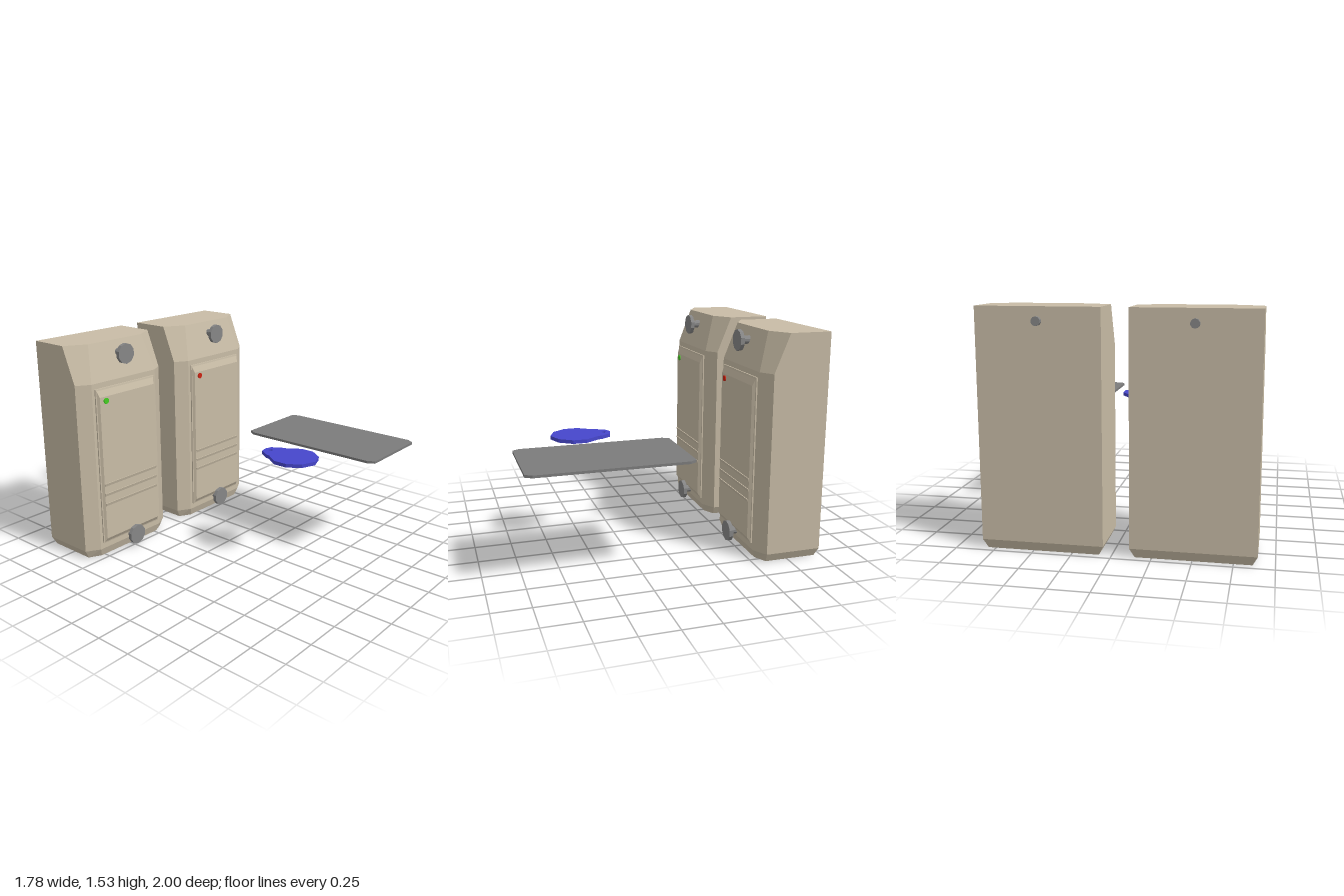
import * as THREE from 'three';

const material = (color) => new THREE.MeshStandardMaterial({ color, flatShading: true });
const casing = material(0xc8bca6);
const metal = material(0x868686);
const cardGrey = material(0x7c7c7c);
const blue = material(0x4646cc);
const green = material(0x44cc22);
const red = material(0xcc2211);

function part(name, geometry, mat, parent) {
  const mesh = new THREE.Mesh(geometry, mat);
  mesh.name = name;
  parent.add(mesh);
  return mesh;
}

// Capped solid through rings that run counter-clockwise seen from the last ring's side
function loft(rings) {
  const n = rings[0].length, pos = [];
  const tri = (...points) => points.forEach((p) => pos.push(...p));
  for (let r = 0; r + 1 < rings.length; r++) {
    const a = rings[r], b = rings[r + 1];
    for (let i = 0; i < n; i++) {
      const j = (i + 1) % n;
      tri(a[i], a[j], b[j]);
      tri(a[i], b[j], b[i]);
    }
  }
  const first = rings[0], last = rings[rings.length - 1];
  for (let i = 1; i + 1 < n; i++) {
    tri(first[0], first[i + 1], first[i]);
    tri(last[0], last[i], last[i + 1]);
  }
  const g = new THREE.BufferGeometry();
  g.setAttribute('position', new THREE.Float32BufferAttribute(pos, 3));
  g.computeVertexNormals();
  return g;
}

// Horizontal six-sided section with chamfered front corners
const section = (y, side, front, back, sideZ, frontZ) => [
  [front, y, frontZ], [side, y, sideZ], [side, y, back],
  [-side, y, back], [-side, y, sideZ], [-front, y, frontZ],
];

// Upright rectangle facing the front
const rect = (x, y0, y1, z) => [[-x, y0, z], [x, y0, z], [x, y1, z], [-x, y1, z]];

// Cylinder lying along z
function rod(name, radius, z0, z1, y, sides, mat, parent) {
  const g = new THREE.CylinderGeometry(radius, radius, z1 - z0, sides);
  g.rotateX(Math.PI / 2);
  const mesh = part(name, g, mat, parent);
  mesh.position.set(0, y, (z0 + z1) / 2);
  return mesh;
}

// Flat plate lying in xz, outline given as [x, z]
function plate(name, outline, y0, y1, mat, parent, hole) {
  const shape = new THREE.Shape(outline.map(([x, z]) => new THREE.Vector2(x, -z)));
  if (hole) shape.holes.push(new THREE.Path().absarc(hole[0], -hole[1], hole[2], 0, Math.PI * 2, true));
  const g = new THREE.ExtrudeGeometry(shape, { depth: y1 - y0, bevelEnabled: false, curveSegments: 8 });
  g.rotateX(-Math.PI / 2).translate(0, y0, 0);
  return part(name, g, mat, parent);
}

function createReader(name, x, lightMat) {
  const unit = new THREE.Group();
  unit.name = name;
  unit.position.x = x;

  // Housing with sloped top front and tapered foot
  part('housing', loft([
    section(0, 0.36, 0.275, -0.952, -0.595, -0.55),
    section(0.06, 0.39, 0.295, -0.972, -0.587, -0.53),
    section(1.275, 0.39, 0.295, -0.972, -0.587, -0.53),
    section(1.53, 0.39, 0.242, -0.972, -0.69, -0.605),
  ]), casing, unit);

  // Raised front panel with bevelled rim
  part('frontPanel', loft([
    rect(0.272, 0.103, 1.237, -0.54),
    rect(0.272, 0.103, 1.237, -0.521),
    rect(0.264, 0.112, 1.225, -0.519),
    rect(0.252, 0.14, 1.18, -0.502),
  ]), casing, unit);

  // Three wedge-shaped louvres
  for (let i = 0; i < 3; i++) {
    const y = 0.374 + i * 0.074;
    const ring = (px) => [[px, y, -0.506], [px, y + 0.034, -0.506], [px, y + 0.034, -0.496]];
    part('louvre' + (i + 1), loft([ring(-0.25), ring(0.25)]), casing, unit);
  }

  // Status light
  rod('statusLight', 0.021, -0.515, -0.495, 1.15, 16, lightMat, unit).position.x = -0.2;

  // Upper bolt passes through the housing, lower knob is shorter
  rod('upperBoltShaft', 0.029, -1, -0.515, 1.443, 10, metal, unit);
  rod('upperBoltHead', 0.072, -0.523, -0.497, 1.443, 10, metal, unit);
  rod('lowerKnobShaft', 0.029, -0.55, -0.475, 0.098, 10, metal, unit);
  rod('lowerKnobHead', 0.072, -0.483, -0.455, 0.098, 10, metal, unit);
  return unit;
}

export function createModel() {
  const model = new THREE.Group();
  model.name = 'accessReaderSet';
  model.add(createReader('rightReader', -0.505, green), createReader('leftReader', 0.44, red));

  // Access card with clipped corners
  const [x0, x1, z0, z1, cx, cz] = [0.305, 0.89, -0.065, 1, 0.028, 0.045];
  plate('accessCard', [
    [x0 + cx, z0], [x0, z0 + cz], [x0, z1 - cz], [x0 + cx, z1],
    [x1 - cx, z1], [x1, z1 - cz], [x1, z0 + cz], [x1 - cx, z0],
  ], 0.758, 0.775, cardGrey, model);

  // Key fob, mirrored about its centre line
  const mid = 0.055;
  const half = [[0.05, 0.293], [0.092, 0.362], [0.1, 0.392], [0.161, 0.482], [0.161, 0.577], [0.1, 0.665]];
  plate('keyFob', [
    [mid, 0.28],
    ...half.map(([x, z]) => [mid - x, z]),
    [mid, 0.703],
    ...half.map(([x, z]) => [mid + x, z]).reverse(),
  ], 0.755, 0.78, blue, model, [mid, 0.328, 0.015]);

  return model;
}
